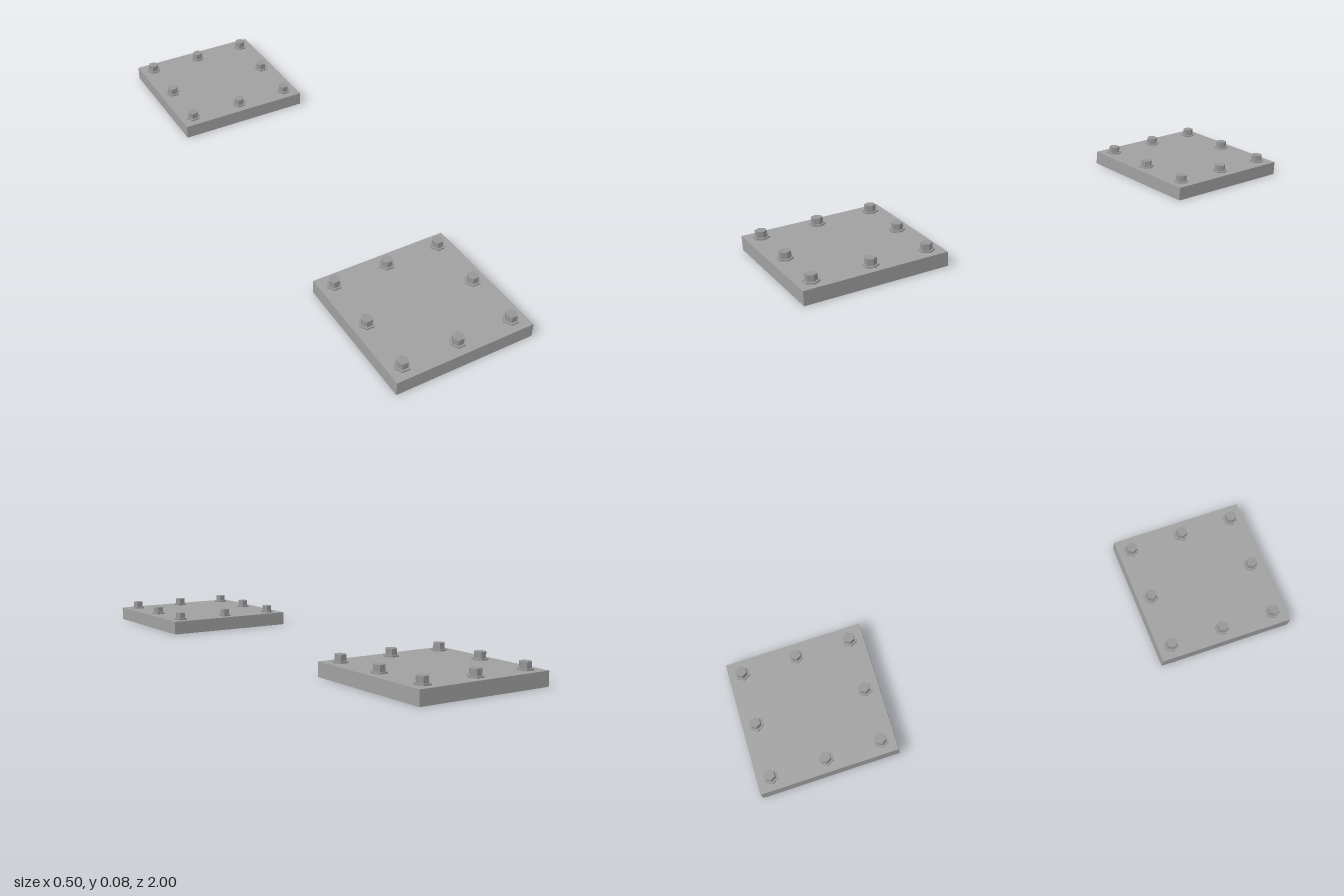
import * as THREE from 'three';

export function createModel() {
  const plateGrey = new THREE.MeshStandardMaterial({ color: 0xa0a0a0 });
  plateGrey.name = 'plateGrey';
  const boltGrey = new THREE.MeshStandardMaterial({ color: 0x969696 });
  boltGrey.name = 'boltGrey';

  const plateGeo = new THREE.BoxGeometry(0.5, 0.05, 0.5);

  // Six-sided prism standing on y = 0, corners pointing to +x and -x, sharp edges
  const hexPrism = (radius, height) => {
    const geo = new THREE.CylinderGeometry(radius, radius, height, 6)
      .rotateY(Math.PI / 6)
      .translate(0, height / 2, 0)
      .toNonIndexed();
    geo.computeVertexNormals();
    return geo;
  };
  const flangeGeo = hexPrism(0.0275, 0.005);
  const headGeo = hexPrism(0.02, 0.022);

  const part = (name, geo, material, y) => {
    const mesh = new THREE.Mesh(geo, material);
    mesh.name = name;
    mesh.position.y = y;
    return mesh;
  };

  // One square base plate with eight bolts around its border
  const makeBase = (name, z) => {
    const base = new THREE.Group();
    base.name = name;
    base.position.z = z;
    base.add(part('plate', plateGeo, plateGrey, 0.025));
    for (const i of [-1, 0, 1]) {
      for (const j of [-1, 0, 1]) {
        if (i === 0 && j === 0) continue;
        const bolt = new THREE.Group();
        bolt.name = 'bolt';
        bolt.position.set(i * 0.2, 0.05, j * 0.2);
        bolt.add(part('boltFlange', flangeGeo, boltGrey, 0));
        bolt.add(part('boltHead', headGeo, boltGrey, 0.005));
        base.add(bolt);
      }
    }
    return base;
  };

  const model = new THREE.Group();
  model.name = 'boltedBasePlates';
  model.add(makeBase('frontBase', 0.75), makeBase('backBase', -0.75));
  return model;
}
